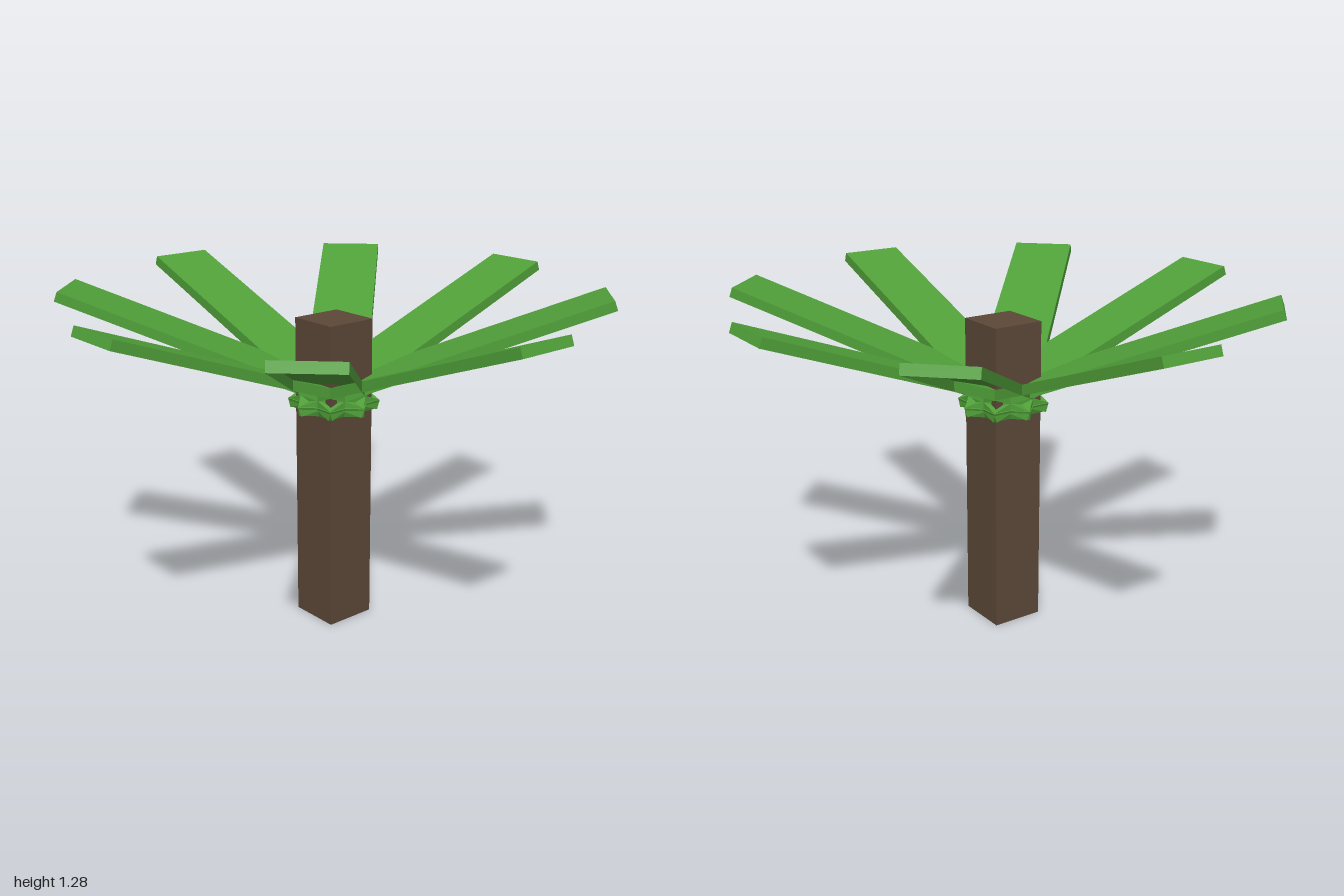
import * as THREE from 'three';

const TILT = THREE.MathUtils.degToRad(20.4);

// Box standing on y = 0 whose underside is left open
function openBox(width, height, depth) {
  const geometry = new THREE.BoxGeometry(width, height, depth);
  const index = Array.from(geometry.index.array);
  index.splice(18, 6); // drop the bottom face
  geometry.setIndex(index);
  geometry.clearGroups();
  geometry.translate(0, height / 2, 0);
  return geometry;
}

export function createModel() {
  const model = new THREE.Group();
  model.name = 'palmTree';

  const bark = new THREE.MeshStandardMaterial({ color: 0x5c4838, side: THREE.DoubleSide });
  bark.name = 'bark brown';
  const green = new THREE.MeshStandardMaterial({ color: 0x50a039, side: THREE.DoubleSide });
  green.name = 'leaf green';

  // Square trunk, poking out above the crown
  const trunk = new THREE.Mesh(openBox(0.2, 1.18, 0.2), bark);
  trunk.name = 'trunk';
  model.add(trunk);

  // Eight straight fronds rising outwards; each starts just behind the trunk axis
  const reach = 1.0, inner = -0.11, tipHeight = 1.25;
  const length = (reach - inner) / Math.cos(TILT);
  const frondGeometry = openBox(length, 0.037, 0.24);
  frondGeometry.translate(-length / 2, 0, 0); // origin at the lower tip
  frondGeometry.rotateZ(TILT);
  frondGeometry.translate(reach, tipHeight, 0);

  const crown = new THREE.Group();
  crown.name = 'crown';
  for (let i = 0; i < 8; i++) {
    const frond = new THREE.Mesh(frondGeometry, green);
    frond.name = `frond${i + 1}`;
    frond.rotation.y = (i * Math.PI) / 4;
    crown.add(frond);
  }
  model.add(crown);

  return model;
}
